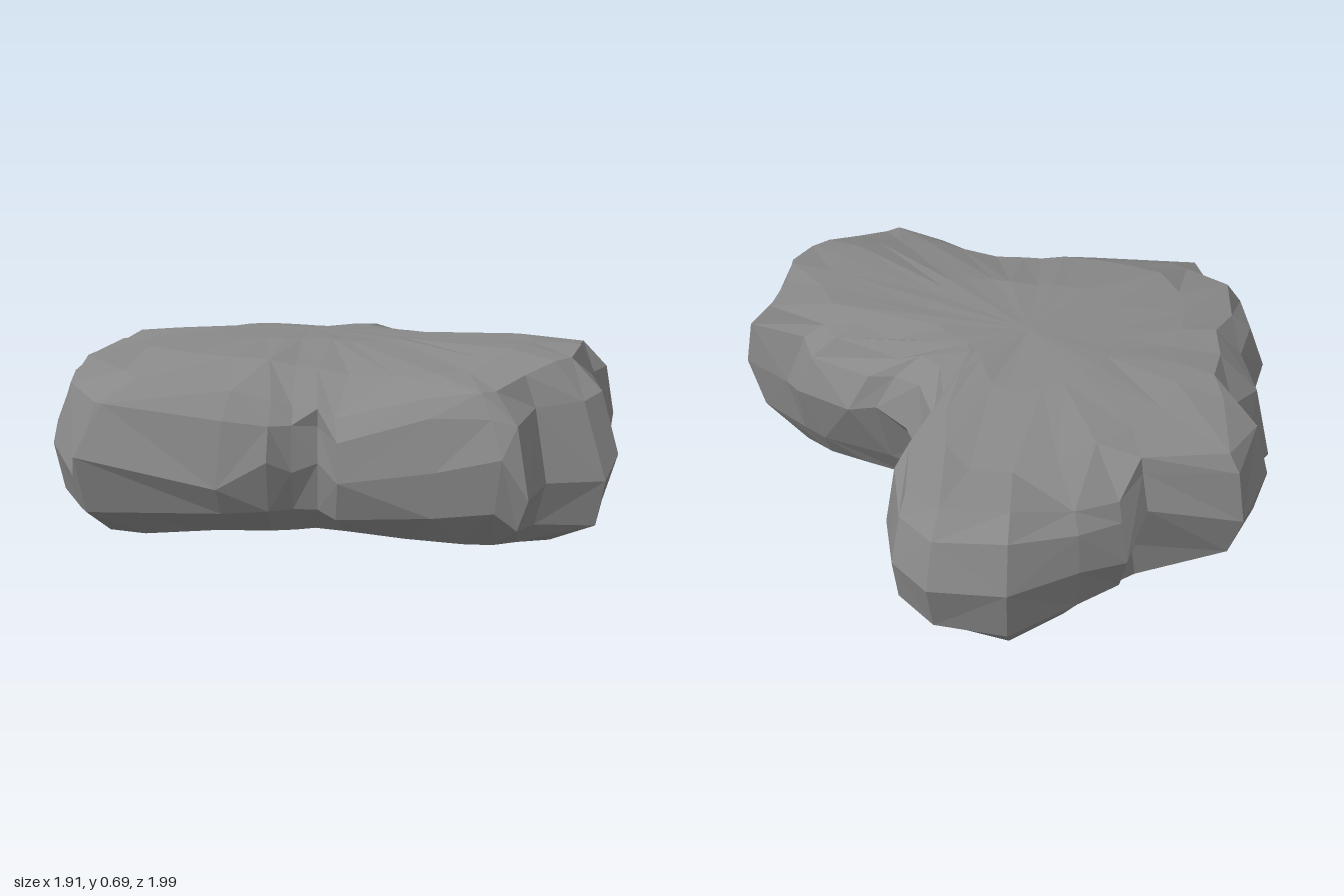
import * as THREE from 'three';

// Widest contour, clockwise from the back: [x, z, height, distance in to the top edge]
const OUTLINE = [
  [0.08, -1.0, 0.36, 0.13], [0.21, -0.89, 0.37, 0.11], [0.27, -0.68, 0.37, 0.14],
  [0.19, -0.42, 0.42, 0.09], [0.28, -0.28, 0.46, 0.14], [0.4, -0.2, 0.48, 0.17],
  [0.5, -0.2, 0.46, 0.19], [0.72, -0.05, 0.42, 0.15], [0.78, 0.03, 0.4, 0.16],
  [0.95, 0.12, 0.42, 0.1], [0.93, 0.32, 0.35, 0.1], [0.89, 0.42, 0.42, 0.06],
  [0.95, 0.66, 0.37, 0.17], [0.91, 0.75, 0.3, 0.2], [0.73, 0.81, 0.3, 0.09],
  [0.68, 0.99, 0.28, 0.16], [0.6, 0.99, 0.4, 0.12], [0.4, 0.95, 0.35, 0.09],
  [0.1, 0.9, 0.3, 0.07], [0.03, 0.83, 0.35, 0.03], [-0.05, 0.84, 0.32, 0.03],
  [-0.12, 0.9, 0.36, 0.08], [-0.27, 0.94, 0.28, 0.13], [-0.7, 0.99, 0.38, 0.28],
  [-0.74, 0.86, 0.3, 0.2], [-0.87, 0.62, 0.36, 0.13], [-0.92, 0.4, 0.4, 0.13],
  [-0.88, 0.22, 0.32, 0.14], [-0.96, 0.06, 0.24, 0.2], [-0.88, -0.13, 0.32, 0.13],
  [-0.95, -0.25, 0.38, 0.17], [-0.88, -0.49, 0.35, 0.08], [-0.57, -0.57, 0.42, 0.06],
  [-0.52, -0.72, 0.32, 0.09], [-0.38, -0.84, 0.36, 0.1], [-0.17, -0.99, 0.36, 0.13],
];
const CENTRE = [-0.1, 0.05];
const { lerp, smoothstep } = THREE.MathUtils;

// Small seeded generator for the chipped surface
function makeRandom(seed) {
  return () => {
    seed = (seed * 16807) % 2147483647;
    return (seed / 2147483647) * 2 - 1;
  };
}

// Rounded bump of height 1 at (cx, cz)
const bump = (x, z, cx, cz, wx, wz) =>
  Math.exp(-(((x - cx) / wx) ** 2) - ((z - cz) / wz) ** 2);

// Plateau, falling to the front, the left rim and the rear lobe, with a dip at the front cleft
function topHeight(x, z) {
  const rear = smoothstep(-z, 0.45, 0.7);
  return 0.685 - 0.04 * smoothstep(-z, 0.15, 0.4) - 0.05 * rear
    - 0.08 * rear * smoothstep(-x, 0.1, 0.5)
    - 0.02 * smoothstep(-x, 0.3, 0.6) - 0.05 * smoothstep(-x, 0.74, 0.9)
    - 0.09 * smoothstep(z, 0.5, 0.9) - 0.11 * bump(x, z, 0.03, 0.88, 0.22, 0.18)
    - 0.05 * bump(x, z, 0.45, -0.08, 0.2, 0.12);
}

// Flat underside with a keel below the rear lobe
function bottomHeight(x, z) {
  return 0.115 - 0.115 * bump(x, z, -0.13, -0.8, 0.19, 0.28)
    - 0.055 * bump(x, z, -0.45, -0.35, 0.32, 0.32)
    - 0.025 * smoothstep(Math.abs(x), 0.45, 0.75);
}

// Averages every contour point with its neighbours
function soften(points, passes) {
  const n = points.length;
  for (let k = 0; k < passes; k++) {
    points = points.map((p, i) => p.map((v, c) =>
      v / 2 + (points[(i + 1) % n][c] + points[(i + n - 1) % n][c]) / 4));
  }
  return points;
}

// Moves a contour point towards the centre by a distance
function inset(p, distance) {
  const dx = p[0] - CENTRE[0], dz = p[1] - CENTRE[1];
  const s = 1 - distance / Math.hypot(dx, dz);
  return [CENTRE[0] + dx * s, CENTRE[1] + dz * s];
}

function rockGeometry() {
  const random = makeRandom(4217);
  const n = OUTLINE.length;
  const overhang = (p) => 1.6 * Math.max(0, p[2] - 0.4);
  const radius = (p) => Math.hypot(p[0] - CENTRE[0], p[1] - CENTRE[1]);
  const brow = (p) => topHeight(...inset(p, p[3]));

  // Loops from the plateau, over the rim, to the underside:
  // softening passes, inset distance, height, roughness
  const loops = [
    { soft: 5, inset: (p) => 0.62 * radius(p), y: (p, x, z) => topHeight(x, z), rough: 0.003 },
    { soft: 2, inset: (p) => p[3] + 0.15, y: (p, x, z) => topHeight(x, z), rough: 0.006 },
    { soft: 0, inset: (p) => p[3], y: (p) => brow(p) - 0.012, rough: 0.012 },
    { soft: 0, inset: (p) => 0.4 * p[3], y: (p) => lerp(p[2], brow(p), 0.65), rough: 0.018 },
    { soft: 0, inset: () => 0, y: (p) => p[2], rough: 0 },
    { soft: 0, inset: (p) => 0.04 + overhang(p), y: (p, x, z) => lerp(bottomHeight(x, z), p[2], 0.4), rough: 0.018 },
    { soft: 1, inset: (p) => 0.16 + overhang(p), y: (p, x, z) => bottomHeight(x, z), rough: 0.008 },
    { soft: 4, inset: (p) => 0.58 * radius(p), y: (p, x, z) => bottomHeight(x, z), rough: 0.005 },
  ];

  const positions = [];
  for (const loop of loops) {
    for (const p of soften(OUTLINE, loop.soft)) {
      const [x, z] = inset(p, loop.inset(p) + loop.rough * random());
      positions.push(x, Math.max(0, loop.y(p, x, z) + loop.rough * random()), z);
    }
  }
  const top = loops.length * n;
  positions.push(CENTRE[0], 0.69, CENTRE[1], CENTRE[0], 0.115, CENTRE[1]);

  const index = [];
  const last = (loops.length - 1) * n;
  for (let i = 0; i < n; i++) {
    const j = (i + 1) % n;
    for (let r = 0; r < loops.length - 1; r++) {
      const a = r * n + i, b = r * n + j, c = a + n, d = b + n;
      // Varied diagonals give irregular facets
      if (random() > 0) index.push(a, b, d, a, d, c);
      else index.push(a, b, c, b, d, c);
    }
    index.push(top, j, i, top + 1, last + i, last + j);
  }

  const geometry = new THREE.BufferGeometry();
  geometry.setAttribute('position', new THREE.Float32BufferAttribute(positions, 3));
  geometry.setIndex(index);
  geometry.computeVertexNormals();
  return geometry;
}

export function createModel() {
  const group = new THREE.Group();
  group.name = 'flatRock';
  const material = new THREE.MeshStandardMaterial({ color: 0x888888, flatShading: true });
  const rock = new THREE.Mesh(rockGeometry(), material);
  rock.name = 'rockSlab';
  group.add(rock);
  return group;
}
